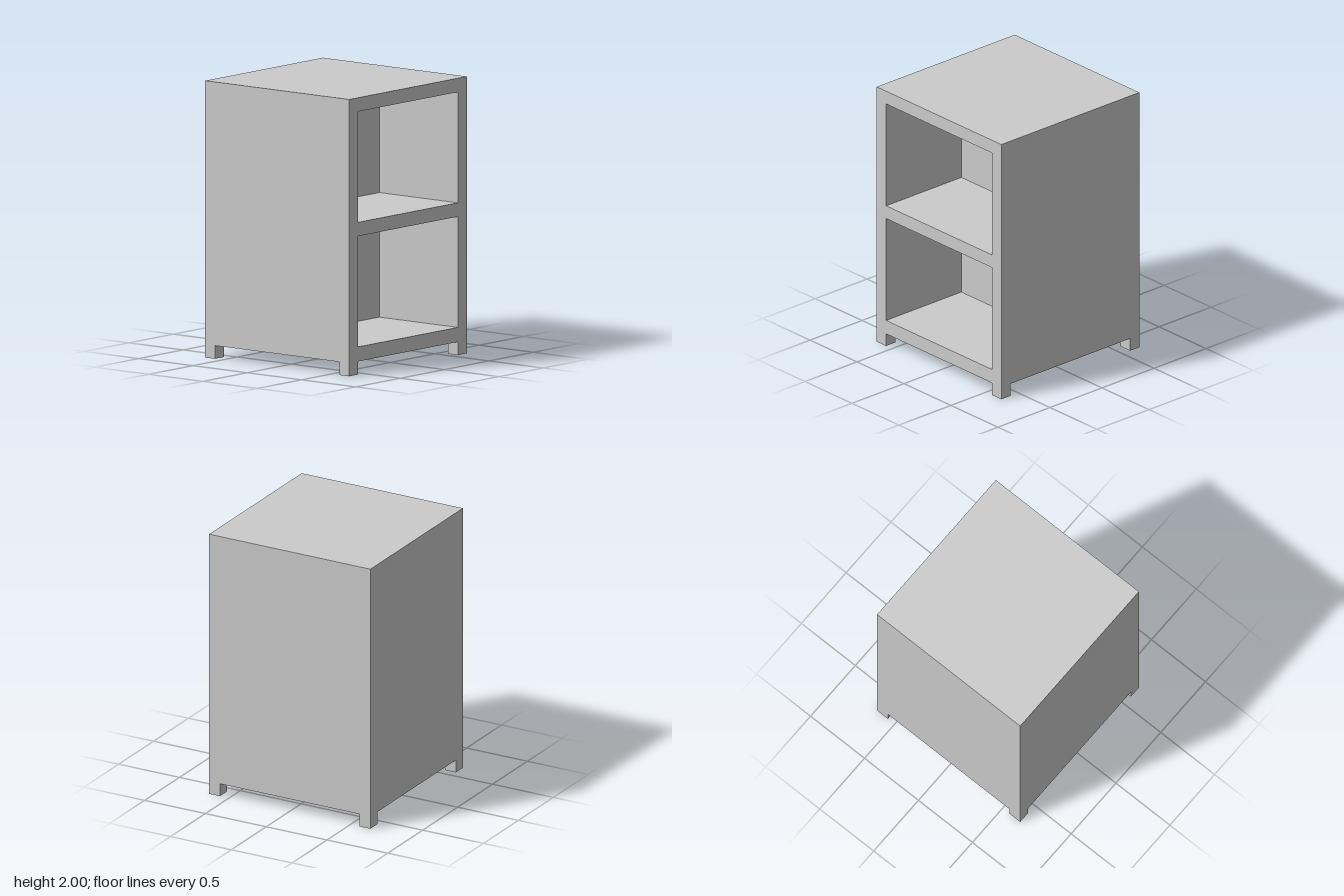
import * as THREE from 'three';

const HALF = 0.663;     // half width and half depth
const LEG_H = 0.095;
const TOP = 2;
const BACK_X = -0.06;   // inner end of the compartments
const OPEN_Z = 0.563;   // half width of the openings

export function createModel() {
  const model = new THREE.Group();
  const material = new THREE.MeshStandardMaterial({ color: 0xcccccc, flatShading: true });

  const add = (name, geometry, x, y, z) => {
    const mesh = new THREE.Mesh(geometry, material);
    mesh.name = name;
    mesh.position.set(x, y, z);
    model.add(mesh);
    return mesh;
  };
  const rect = (path, w, y0, y1) => {
    path.moveTo(-w, y0).lineTo(w, y0).lineTo(w, y1).lineTo(-w, y1).closePath();
    return path;
  };

  // Open half of the cabinet: a frame with two compartments facing +x
  const frame = rect(new THREE.Shape(), HALF, LEG_H, TOP);
  for (const [y0, y1] of [[0.2, 1.0], [1.1, 1.9]]) {
    frame.holes.push(rect(new THREE.Path(), OPEN_Z, y0, y1));
  }
  const frameGeometry = new THREE.ExtrudeGeometry(frame, { depth: HALF - BACK_X, bevelEnabled: false });
  frameGeometry.rotateY(Math.PI / 2);
  add('compartmentFrame', frameGeometry, BACK_X, 0, 0);

  // Closed half behind the compartments
  const bodyH = TOP - LEG_H;
  const backW = BACK_X + HALF;
  add('closedBody', new THREE.BoxGeometry(backW, bodyH, HALF * 2), -HALF + backW / 2, LEG_H + bodyH / 2, 0);

  // Four short corner legs
  const legX = 0.09, legZ = 0.1;
  for (const sx of [-1, 1]) {
    for (const sz of [-1, 1]) {
      add(`${sz > 0 ? 'front' : 'back'}${sx > 0 ? 'Left' : 'Right'}Leg`,
        new THREE.BoxGeometry(legX, LEG_H, legZ),
        sx * (HALF - legX / 2), LEG_H / 2, sz * (HALF - legZ / 2));
    }
  }
  return model;
}
